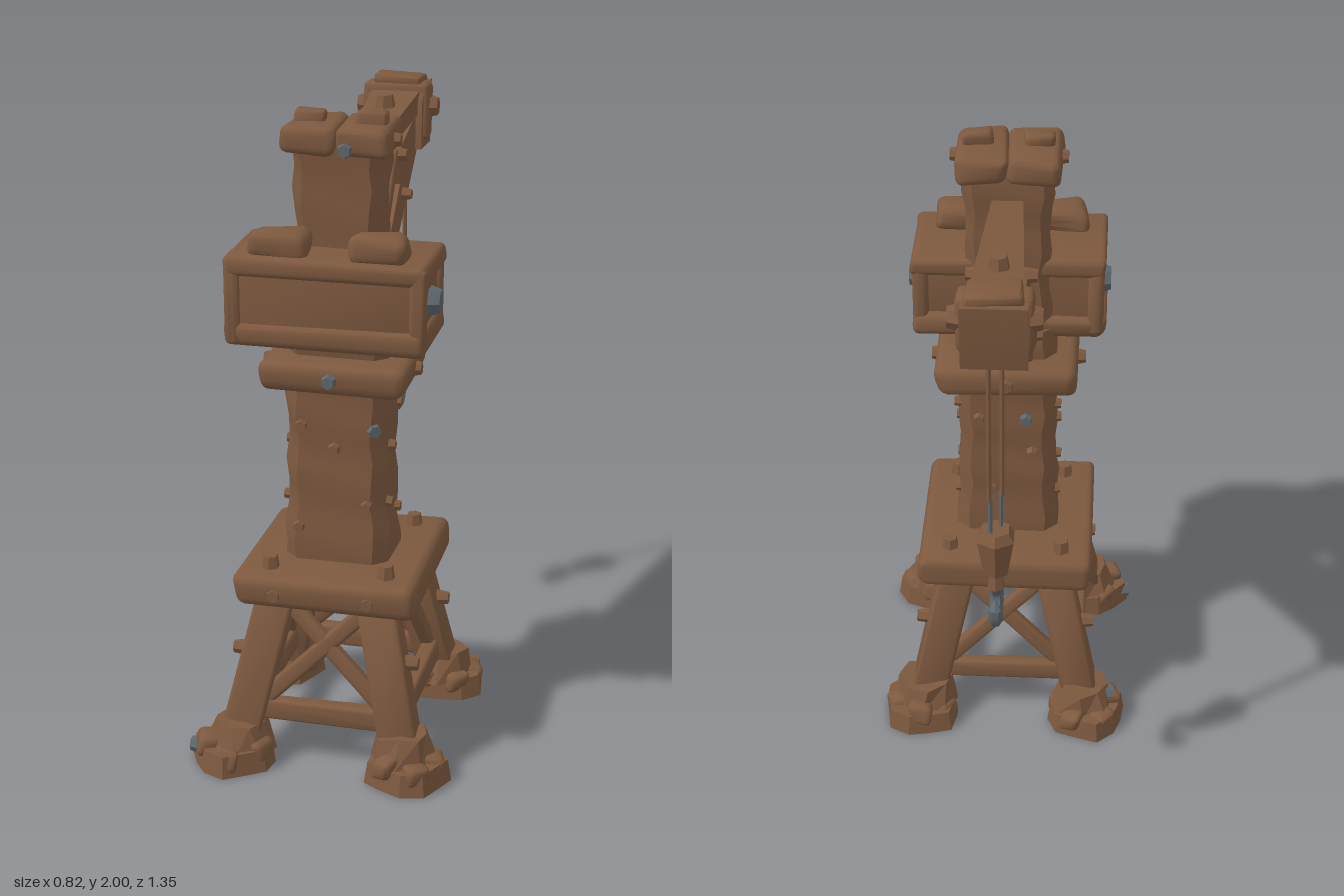
import * as THREE from 'three';
import { toCreasedNormals } from 'three/addons/utils/BufferGeometryUtils.js';
import { RoundedBoxGeometry } from 'three/addons/geometries/RoundedBoxGeometry.js';

const wood = new THREE.MeshStandardMaterial({ color: 0x7d593f });
wood.name = 'weathered wood';
const iron = new THREE.MeshStandardMaterial({ color: 0x5d676c });
iron.name = 'grey iron';

const V = (x, y, z) => new THREE.Vector3(x, y, z);
const AXIS_Z = 0.21; // depth of the tower axis

export function createModel() {
  const root = new THREE.Group();
  root.name = 'harbourCrane';

  // Move every vertex by a rule
  const warp = (geo, rule) => {
    const p = geo.attributes.position, v = V(0, 0, 0);
    for (let i = 0; i < p.count; i++) {
      v.fromBufferAttribute(p, i);
      rule(v);
      p.setXYZ(i, v.x, v.y, v.z);
    }
    return geo;
  };

  // Gentle hand-hewn unevenness, identical for coincident corners
  const hew = (geo, amount, seed = 0) => warp(geo, (v) => {
    const { x, y, z } = v;
    v.x += amount * Math.sin(31 * y + 23 * z + 11 * x + seed);
    v.y += amount * Math.sin(29 * x + 19 * z + 7 * y + seed * 2);
    v.z += amount * Math.sin(27 * x + 33 * y + 9 * z + seed * 3);
  });

  const add = (name, geo, pos, mat = wood, crease = 0.6) => {
    const mesh = new THREE.Mesh(toCreasedNormals(geo, crease), mat);
    mesh.name = name;
    mesh.position.copy(pos);
    root.add(mesh);
    return mesh;
  };

  let seed = 1;
  const block = (name, w, h, d, pos, r = 0.02, rough = 0.005) =>
    add(name, hew(new RoundedBoxGeometry(w, h, d, 2, r), rough, seed++), pos);

  // Timber running between two points
  const beam = (name, a, b, w, d) => {
    const dir = b.clone().sub(a);
    const m = block(name, w, dir.length(), d, a.clone().add(b).multiplyScalar(0.5), 0.012, 0.004);
    m.quaternion.setFromUnitVectors(V(0, 1, 0), dir.normalize());
    return m;
  };

  // Six-sided bolt head facing along a direction
  const bolt = (name, pos, dir, r = 0.025, h = 0.04, mat = wood) => {
    const m = add(name, new THREE.CylinderGeometry(r * 0.75, r, h, 6), pos, mat);
    m.quaternion.setFromUnitVectors(V(0, 1, 0), dir);
    return m;
  };

  // Upright post with chamfered corners and a width rule along its height
  const post = (name, w, d, y0, y1, z, chamfer, widen) => {
    const a = w / 2, b = d / 2, c = chamfer;
    const outline = [[a, -b + c], [a, b - c], [a - c, b], [-a + c, b], [-a, b - c], [-a, -b + c], [-a + c, -b], [a - c, -b]];
    const shape = new THREE.Shape(outline.map(([x, y]) => new THREE.Vector2(x, y)));
    const geo = new THREE.ExtrudeGeometry(shape, { depth: y1 - y0, steps: 9, bevelEnabled: false });
    geo.rotateX(-Math.PI / 2);
    warp(geo, (v) => { const s = widen(v.y / (y1 - y0)); v.x *= s; v.z *= s; });
    return add(name, hew(geo, 0.006, seed++), V(0, y0, z));
  };

  // Side profile of [z, y] points spread across x, with a width rule along z
  const profile = (name, points, halfWidth) => {
    const shape = new THREE.Shape(points.map(([z, y]) => new THREE.Vector2(-z, y)));
    const geo = new THREE.ExtrudeGeometry(shape, { depth: 2, bevelEnabled: false });
    geo.translate(0, 0, -1).rotateY(Math.PI / 2);
    return add(name, warp(geo, (v) => { v.x *= halfWidth(v.z); }), V(0, 0, 0));
  };

  // Ragged stone feet and splayed legs
  for (const sx of [-1, 1]) for (const sz of [-1, 1]) {
    const cx = sx * 0.275, cz = AXIS_Z + sz * 0.33;
    const stone = new THREE.CylinderGeometry(0.115, 0.125, 0.07, 11, 1);
    warp(stone, (v) => {
      const k = 1 + 0.1 * Math.sin(4 * Math.atan2(v.z, v.x) + sx + 2 * sz);
      v.x *= k; v.z *= k;
    });
    add('footBase', stone, V(cx, 0.035, cz), wood, 0.3);
    const upper = new THREE.CylinderGeometry(0.08, 0.108, 0.09, 8, 1);
    add('footTop', hew(upper, 0.01, sx + 2 * sz), V(sx * 0.258, 0.1, AXIS_Z + sz * 0.315), wood, 0.3);
    for (let i = 0; i < 5; i++) {
      const t = i * 1.257 + sx;
      const lump = block('footStone', 0.075, 0.07, 0.08, V(cx + 0.08 * Math.cos(t), 0.05 + 0.015 * (i % 2), cz + 0.08 * Math.sin(t)), 0.02, 0.008);
      lump.rotation.y = -t;
    }
    beam('leg', V(sx * 0.25, 0.1, AXIS_Z + sz * 0.3), V(sx * 0.155, 0.54, AXIS_Z + sz * 0.215), 0.115, 0.115);
    bolt('legBolt', V(sx * 0.265, 0.35, AXIS_Z + sz * 0.25), V(sx, 0, 0), 0.026, 0.05);
    bolt('platformBolt', V(sx * 0.18, 0.625, AXIS_Z + sz * 0.215), V(0, 1, 0), 0.03, 0.05);
  }
  bolt('footBolt', V(-0.4, 0.035, 0.53), V(-1, 0, 0), 0.03, 0.03, iron);
  bolt('footBolt', V(-0.35, 0.1, -0.11), V(-1, 0, 0), 0.03, 0.03, iron);

  // Bracing: crosses at front and back, inverted V on each flank
  for (const s of [-1, 1]) {
    const zLow = AXIS_Z + s * 0.285, zTop = AXIS_Z + s * 0.225;
    beam('lowerRail', V(-0.24, 0.17, zLow), V(0.24, 0.17, zLow), 0.065, 0.05);
    for (const m of [-1, 1]) beam('crossBrace', V(m * 0.2, 0.19, zLow), V(-m * 0.13, 0.51, zTop), 0.05, 0.04);
    beam('sideRail', V(s * 0.235, 0.17, AXIS_Z - 0.28), V(s * 0.235, 0.17, AXIS_Z + 0.28), 0.05, 0.07);
    for (const m of [-1, 1]) beam('sideBrace', V(s * 0.235, 0.18, AXIS_Z + m * 0.235), V(s * 0.165, 0.53, AXIS_Z + m * 0.02), 0.04, 0.05);
  }

  // Platform, tower, collar and mast
  block('platform', 0.56, 0.105, 0.61, V(0, 0.56, AXIS_Z), 0.03);
  post('tower', 0.31, 0.24, 0.59, 1.2, 0.22, 0.04, (t) => 0.97 + 0.1 * (1 - t) ** 3 + 0.05 * t ** 4);
  block('collar', 0.45, 0.095, 0.37, V(0, 1.215, 0.22), 0.035);
  post('mastFoot', 0.31, 0.2, 1.24, 1.36, 0.22, 0.04, () => 1);
  post('mast', 0.265, 0.18, 1.3, 1.9, 0.22, 0.03, (t) => 1 + 0.04 * Math.cos(6.28 * t));
  for (const s of [-1, 1]) {
    block('mastCap', 0.163, 0.085, 0.25, V(s * 0.081, 1.92, 0.22), 0.025);
    block('capBlock', 0.09, 0.06, 0.06, V(s * 0.09, 1.968, 0.232), 0.015);
    bolt('collarBolt', V(s * 0.23, 1.215, 0.22), V(s, 0, 0), 0.026, 0.03);
    bolt('capBolt', V(s * 0.165, 1.915, 0.235), V(s, 0, 0), 0.025, 0.03);
  }
  bolt('capBolt', V(0.035, 1.9, 0.345), V(0, 0, 1), 0.026, 0.03, iron);
  bolt('collarBolt', V(0, 1.215, 0.41), V(0, 0, 1), 0.026, 0.03, iron);
  bolt('collarBolt', V(0, 1.215, 0.035), V(0, 0, -1), 0.026, 0.03);
  bolt('platformStud', V(-0.15, 0.555, 0.51), V(0, 0, 1), 0.026, 0.03);
  bolt('platformStud', V(0.14, 0.555, 0.51), V(0, 0, 1), 0.026, 0.03);

  // Splinters and studs on the tower
  for (const [x, y, z] of [[0, 0.98, 1], [-0.11, 0.72, 1], [0.09, 1.05, -1], [-0.08, 0.92, -1], [0.05, 0.78, -1], [-0.1, 1.05, 1], [0.1, 0.8, 1]])
    bolt('towerStud', V(x, y, 0.22 + z * 0.12), V(0, 0, z), 0.022, 0.04);
  for (const s of [-1, 1]) for (const [y, z] of [[0.97, 0.24], [0.8, 0.28], [0.74, 0.16], [1.08, 0.15]])
    bolt('towerStud', V(s * 0.155, y, z), V(s, 0, 0), 0.02, 0.03);
  bolt('towerBolt', V(0.12, 1.045, 0.33), V(0.5, 0, 0.866), 0.026, 0.04, iron);
  bolt('towerBolt', V(-0.06, 1.05, 0.1), V(0, 0, -1), 0.024, 0.04, iron);

  // Counterweight: recessed core with heavy rims
  block('counterweightCore', 0.575, 0.24, 0.295, V(0, 1.46, 0.312), 0.015);
  block('counterweightTopRim', 0.605, 0.06, 0.33, V(0, 1.568, 0.308), 0.02);
  block('counterweightBottomRim', 0.605, 0.075, 0.33, V(0, 1.36, 0.308), 0.025);
  for (const s of [-1, 1]) {
    for (const z of [0.17, 0.448]) block('counterweightCorner', 0.05, 0.25, 0.05, V(s * 0.277, 1.46, z), 0.018);
    block('ballast', 0.175, 0.085, 0.11, V(s * 0.153, 1.628, 0.39), 0.03, 0.007);
    bolt('counterweightBolt', V(s * 0.3, 1.455, 0.305), V(s, 0, 0), 0.048, 0.035, iron);
  }

  // Boom: tapered jib, top tie and diagonal struts
  const along = (a, b) => (z) => a + (b - a) * (0.12 - z) / 0.67;
  profile('jib', [[0.14, 1.29], [0.07, 1.285], [-0.55, 1.71], [-0.58, 1.84], [-0.22, 1.765], [-0.26, 1.66], [0.03, 1.425], [0.14, 1.36]], along(0.08, 0.07));
  profile('topTie', [[0.16, 1.755], [-0.58, 1.835], [-0.58, 1.905], [0.16, 1.815]], along(0.048, 0.078));
  for (const s of [-1, 1]) {
    beam('boomStrut', V(s * 0.07, 1.39, 0.13), V(s * 0.055, 1.77, -0.22), 0.04, 0.05);
    bolt('strutBolt', V(s * 0.085, 1.765, -0.22), V(s, 0, 0), 0.025, 0.04);
    bolt('jibBolt', V(s * 0.09, 1.62, -0.3), V(s, 0, 0), 0.022, 0.03);
    bolt('jibBolt', V(s * 0.09, 1.38, 0.08), V(s, 0, 0), 0.025, 0.04);
    bolt('headBolt', V(s * 0.115, 1.845, -0.59), V(s, 0, 0), 0.04, 0.035);
  }
  bolt('tieBolt', V(0, 1.9, -0.38), V(0, 1, 0), 0.034, 0.04);

  // Boom head with a raised strap
  profile('boomHead', [[-0.52, 1.715], [-0.65, 1.715], [-0.665, 1.8], [-0.67, 1.92], [-0.55, 1.905], [-0.52, 1.86]], along(0.08, 0.092));
  block('headStrap', 0.225, 0.19, 0.08, V(0, 1.835, -0.585), 0.02);
  block('headCap', 0.16, 0.035, 0.1, V(0, 1.93, -0.6), 0.012);

  // Twin ropes, pulley block and hook
  for (const s of [-1, 1]) {
    const x = s * 0.018, z = -0.596 - s * 0.018;
    add('rope', new THREE.CylinderGeometry(0.008, 0.008, 0.5, 6), V(x, 1.49, z));
    add('ropeEnd', new THREE.CylinderGeometry(0.007, 0.007, 0.14, 6), V(x * 0.8, 1.18, z), iron);
  }
  add('pulleyBlock', new THREE.CylinderGeometry(0.062, 0.04, 0.125, 6), V(0, 1.04, -0.596), wood, 0.3);
  add('pulleyTop', new THREE.CylinderGeometry(0.045, 0.062, 0.03, 6), V(0, 1.117, -0.596), wood, 0.3);
  add('hookShank', new THREE.CylinderGeometry(0.018, 0.028, 0.06, 6), V(0, 0.95, -0.596));
  const hookPath = new THREE.CatmullRomCurve3([[-0.596, 0.935], [-0.575, 0.9], [-0.55, 0.865], [-0.56, 0.825], [-0.6, 0.805], [-0.637, 0.825], [-0.64, 0.87]].map(([z, y]) => V(0, y, z)));
  add('hook', new THREE.TubeGeometry(hookPath, 14, 0.021, 6), V(0, 0, 0), iron);
  const tip = add('hookTip', new THREE.ConeGeometry(0.021, 0.035, 6), V(0, 0.883, -0.637), iron);
  tip.rotation.x = 0.3;

  return root;
}
